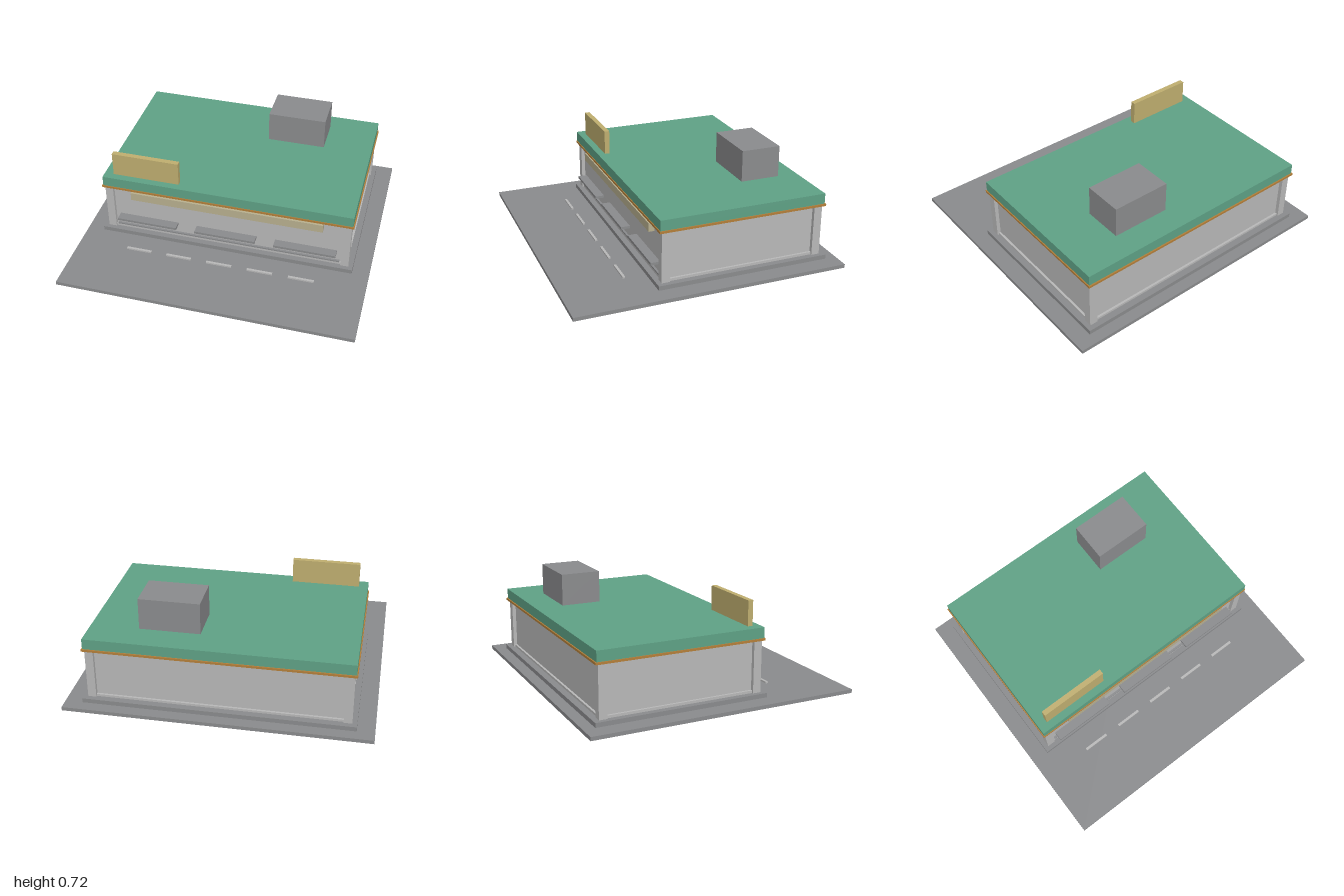
import * as THREE from 'three';

const mat = (name, color) => {
  const m = new THREE.MeshStandardMaterial({ color });
  m.name = name;
  return m;
};

export function createModel() {
  const model = new THREE.Group();
  model.name = 'shopBuilding';
  const grey = mat('concreteGrey', 0x8b8c8e);
  const wall = mat('wallGrey', 0xb9b9b9);
  const green = mat('roofGreen', 0x5fa286);
  const gold = mat('signGold', 0xc0af70);
  const pale = mat('fasciaBeige', 0xb9b190);
  const orange = mat('trimOrange', 0xb5803a);

  // Box given by its lower and upper limits on each axis
  const box = (name, material, [x0, x1], [y0, y1], [z0, z1]) => {
    const mesh = new THREE.Mesh(new THREE.BoxGeometry(x1 - x0, y1 - y0, z1 - z0), material);
    mesh.position.set((x0 + x1) / 2, (y0 + y1) / 2, (z0 + z1) / 2);
    mesh.name = name;
    model.add(mesh);
  };

  // Ground and plinth
  box('groundSlab', grey, [-1, 1], [0, 0.025], [-0.917, 0.917]);
  box('plinth', grey, [-0.885, 0.885], [0.025, 0.055], [-0.84, 0.335]);

  // Recessed walls, low base course and corner posts
  box('walls', wall, [-0.83, 0.83], [0.055, 0.4], [-0.78, 0.28]);
  box('baseCourseSides', wall, [-0.845, 0.845], [0.055, 0.072], [-0.75, 0.25]);
  box('baseCourseFrontBack', wall, [-0.8, 0.8], [0.055, 0.07], [-0.795, 0.295]);
  box('frontSill', grey, [-0.79, 0.79], [0.07, 0.08], [0.27, 0.295]);
  for (const s of [-1, 1]) {
    const x = s < 0 ? [-0.855, -0.8] : [0.8, 0.855];
    box('frontPost', wall, x, [0.055, 0.4], [0.25, 0.305]);
    box('backPost', wall, x, [0.055, 0.4], [-0.805, -0.75]);
  }

  // Front fascia and three ledges
  box('fasciaSign', pale, [-0.667, 0.667], [0.325, 0.383], [0.28, 0.318]);
  for (const x of [-0.557, 0, 0.555]) {
    box('frontLedge', grey, [x - 0.212, x + 0.212], [0.143, 0.16], [0.28, 0.343]);
  }

  // Roof with a thin trim below it
  box('roofTrim', orange, [-0.87, 0.87], [0.4, 0.415], [-0.825, 0.322]);
  box('roof', green, [-0.863, 0.863], [0.415, 0.485], [-0.817, 0.317]);

  // Rooftop sign and raised equipment box
  box('roofSign', gold, [-0.8, -0.335], [0.485, 0.652], [0.232, 0.267]);
  box('rooftopUnit', grey, [0.133, 0.532], [0.505, 0.717], [-0.653, -0.385]);

  // Markings on the forecourt
  for (let i = -2; i <= 2; i++) {
    const x = i * 0.284;
    box('forecourtStripe', wall, [x - 0.088, x + 0.088], [0.025, 0.036], [0.473, 0.49]);
  }
  return model;
}
